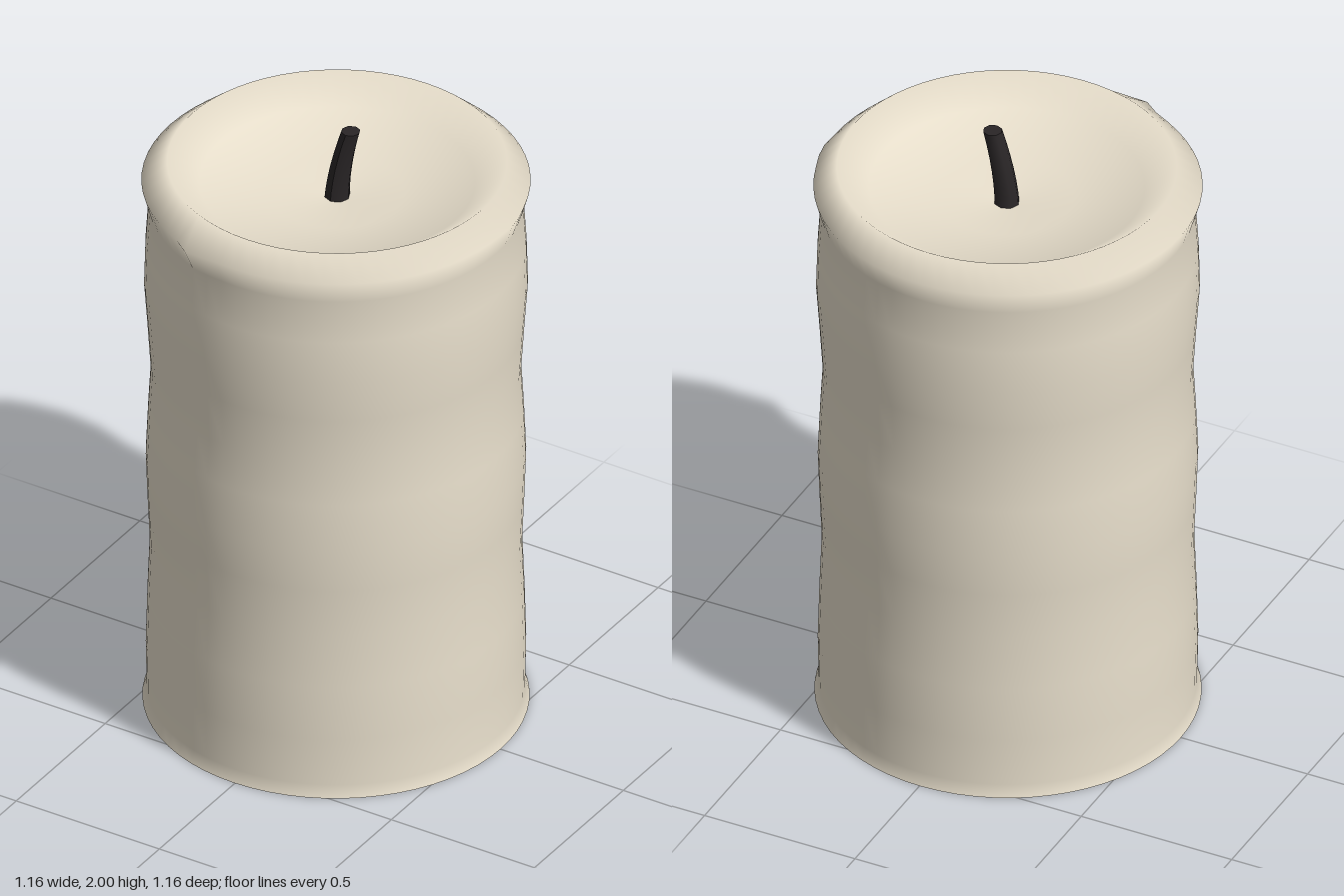
import * as THREE from 'three';

export function createModel() {
  const candle = new THREE.Group();
  candle.name = 'candle';
  const wax = new THREE.MeshStandardMaterial({ color: 0xe8dfcc });
  const charred = new THREE.MeshStandardMaterial({ color: 0x2a2627 });

  // Wax body: flared foot, wavy wall, chamfered rim and hollow melt pool
  const profile = [
    [0.575, 0], [0.562, 0.04], [0.565, 0.2], [0.56, 0.38], [0.553, 0.56],
    [0.56, 0.72], [0.565, 0.86], [0.558, 1.02], [0.55, 1.16], [0.56, 1.32],
    [0.57, 1.46], [0.566, 1.6], [0.557, 1.74], [0.578, 1.815], [0.505, 1.88],
    [0.41, 1.81], [0.2, 1.772], [0, 1.754],
  ].map(([r, y]) => new THREE.Vector2(r, y));
  const bodyGeo = new THREE.LatheGeometry(profile, 64);

  // Two small drips push the rim outwards; the wall sits slightly off centre
  const drips = [{ x: -0.16, z: 0.575, out: 0.024 }, { x: 0.575, z: -0.08, out: 0.008 }];
  const pos = bodyGeo.attributes.position;
  for (let i = 0; i < pos.count; i++) {
    const x = pos.getX(i), y = pos.getY(i), z = pos.getZ(i);
    const r = Math.hypot(x, z);
    if (r < 0.53) continue;
    let push = 0;
    for (const d of drips) {
      const cos = (x * d.x + z * d.z) / (r * Math.hypot(d.x, d.z));
      const angle = Math.acos(Math.min(1, cos));
      push += d.out * Math.exp(-((angle / 0.08) ** 2) - ((y - 1.8) / 0.06) ** 2);
    }
    const k = 1 + push / r;
    pos.setXYZ(i, x * k - 0.004, y, z * k);
  }
  const body = new THREE.Mesh(bodyGeo, wax);
  body.name = 'waxBody';
  candle.add(body);

  // Flat underside
  const base = new THREE.Mesh(new THREE.CircleGeometry(0.575, 64), wax);
  base.name = 'base';
  base.rotation.x = Math.PI / 2;
  base.position.x = -0.004;
  candle.add(base);

  // Wick: tapered eight-sided cylinder bent towards +x
  const height = 0.26;
  const wickGeo = new THREE.CylinderGeometry(0.029, 0.039, height, 8, 6);
  wickGeo.translate(0, height / 2, 0);
  const wp = wickGeo.attributes.position;
  for (let i = 0; i < wp.count; i++) {
    const t = wp.getY(i) / height;
    wp.setX(i, wp.getX(i) + 0.048 * Math.pow(t, 1.7));
  }
  wickGeo.computeVertexNormals();
  const wick = new THREE.Mesh(wickGeo, charred);
  wick.name = 'wick';
  wick.position.set(-0.003, 1.74, -0.004);
  candle.add(wick);

  return candle;
}
